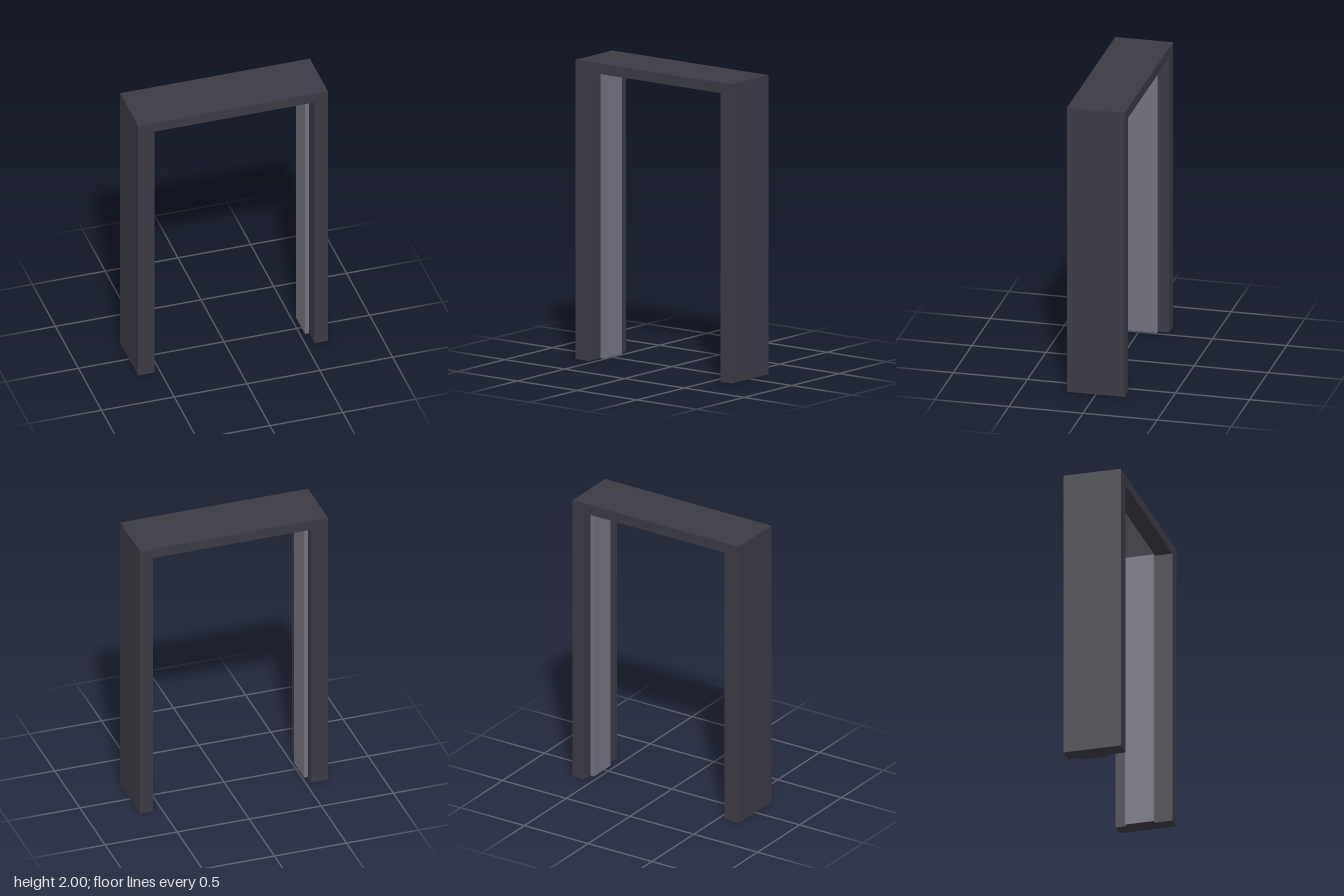
import * as THREE from 'three';

const frameMat = new THREE.MeshStandardMaterial({ color: 0x3c3b45 });
frameMat.name = 'dark frame';
const liningMat = new THREE.MeshStandardMaterial({ color: 0x74727f });
liningMat.name = 'grey lining';

const HALF_W = 0.652, HEIGHT = 2, HALF_D = 0.195;
const INNER_R = -0.54, INNER_L = 0.56, HEAD = 1.93; // edges of the opening
const STOP_BACK = -0.12, STOP_FRONT = 0.075, STOP = 0.027; // door stop

// Box given by its two opposite corners
function box(name, material, [x0, y0, z0], [x1, y1, z1]) {
  const geo = new THREE.BoxGeometry(x1 - x0, y1 - y0, z1 - z0);
  geo.translate((x0 + x1) / 2, (y0 + y1) / 2, (z0 + z1) / 2);
  const mesh = new THREE.Mesh(geo, material);
  mesh.name = name;
  return mesh;
}

export function createModel() {
  const group = new THREE.Group();
  group.name = 'doorFrame';

  // Posts and lintel as one extruded arch
  const arch = new THREE.Shape([
    [-HALF_W, 0], [INNER_R, 0], [INNER_R, HEAD], [INNER_L, HEAD],
    [INNER_L, 0], [HALF_W, 0], [HALF_W, HEIGHT], [-HALF_W, HEIGHT],
  ].map(([x, y]) => new THREE.Vector2(x, y)));
  const archGeo = new THREE.ExtrudeGeometry(arch, { depth: 2 * HALF_D, bevelEnabled: false });
  archGeo.translate(0, 0, -HALF_D);
  const frame = new THREE.Mesh(archGeo, frameMat);
  frame.name = 'frame';
  group.add(frame);

  // Door stops on the inner side of each post, with dark undersides
  const stopMats = [0, 1, 2, 3, 4, 5].map((i) => (i === 3 ? frameMat : liningMat));
  group.add(
    box('rightStop', stopMats, [INNER_R, 0, STOP_BACK], [INNER_R + STOP, HEAD, STOP_FRONT]),
    box('leftStop', stopMats, [INNER_L - STOP, 0, STOP_BACK], [INNER_L, HEAD, STOP_FRONT]),
  );

  // Flush lining strip under the lintel
  group.add(box('lintelLining', liningMat,
    [INNER_R + STOP, HEAD - 0.003, STOP_BACK], [INNER_L - STOP, HEAD + 0.003, STOP_FRONT]));

  return group;
}
